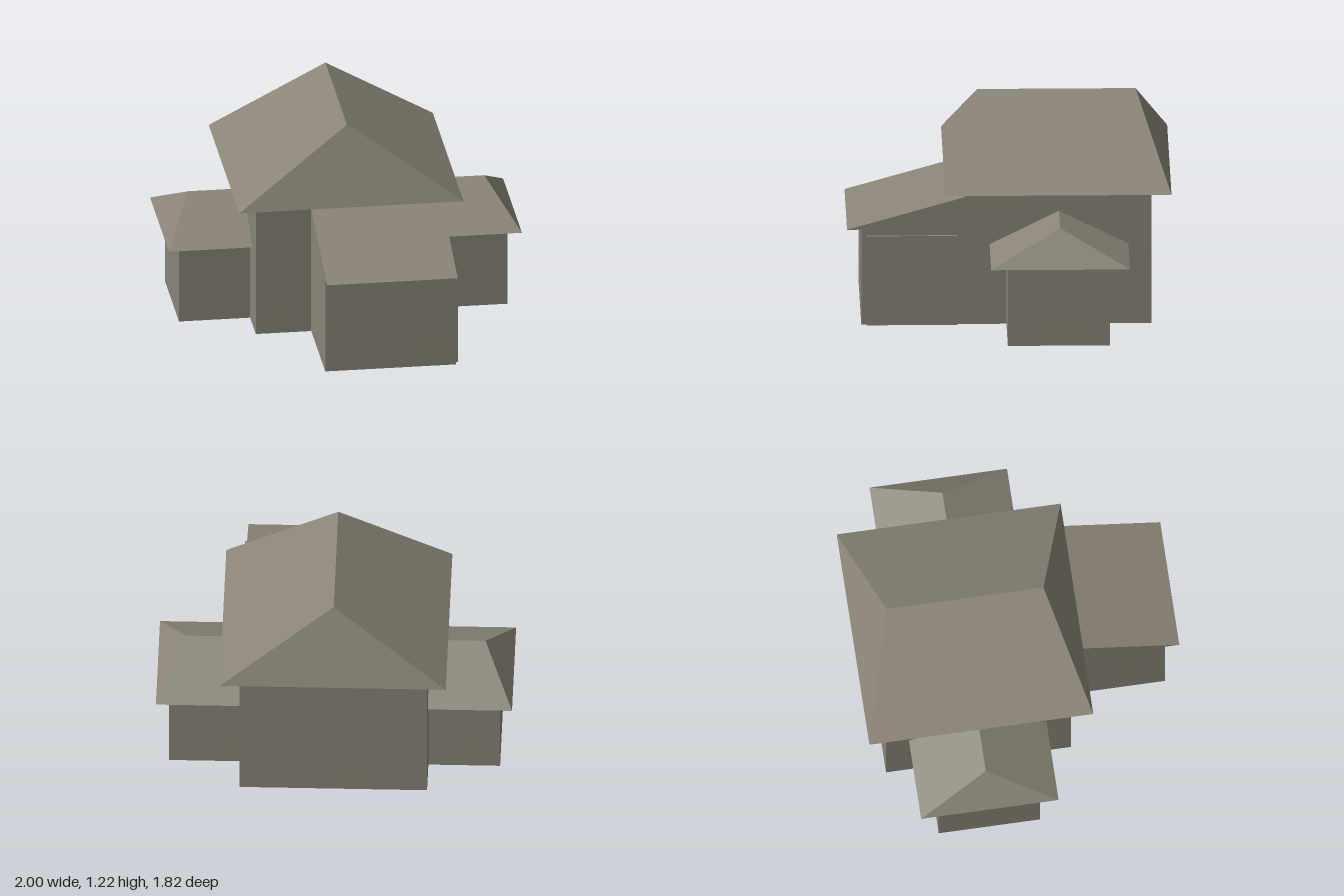
import * as THREE from 'three';

const clay = new THREE.MeshStandardMaterial({ color: 0x8a8477, side: THREE.DoubleSide });
clay.name = 'warm grey';

// Main half width, front and back; wing walls; eave and ridge heights
const W = 0.527, F = 0.25, B = -0.8, EAVE = 0.79, RIDGE = 1.215;
const WX = 0.93, WF = 0.015, WB = -0.56, WEAVE = 0.47, WRIDGE = 0.665;
// Front extension
const EX0 = -0.213, EZ = 0.83, ELIP = 0.91, ELOW = 0.56, EHIGH = 0.748;

function add(parent, name, geometry) {
  const mesh = new THREE.Mesh(geometry, clay);
  mesh.name = name;
  parent.add(mesh);
  return mesh;
}

// Flat-shaded geometry from convex faces, corners counter-clockwise from outside
function faces(...list) {
  const pos = [];
  for (const f of list)
    for (let i = 1; i < f.length - 1; i++) pos.push(...f[0], ...f[i], ...f[i + 1]);
  const g = new THREE.BufferGeometry();
  g.setAttribute('position', new THREE.Float32BufferAttribute(pos, 3));
  g.computeVertexNormals();
  return g;
}

const outline = (pts) => new THREE.Shape(pts.map(([a, b]) => new THREE.Vector2(a, b)));
const sheet = (pts) => new THREE.ShapeGeometry(outline(pts));
// Outline in (z, y), facing -x
const sideSheet = (pts, x) => sheet(pts).rotateY(-Math.PI / 2).translate(x, 0, 0);
const quadZ = (x0, x1, y, z) => [[x0, 0, z], [x1, 0, z], [x1, y, z], [x0, y, z]];

function buildSide() {
  const g = new THREE.Group();
  // Main side wall, open to the wing under its gable
  const k = (WRIDGE - WEAVE) / 0.39, mid = -0.28;
  const gf = WRIDGE - k * (WF - mid), gb = WRIDGE - k * (mid - WB);
  add(g, 'mainSideWall', sideSheet([
    [B, 0], [WB, 0], [WB, gb], [mid, WRIDGE], [WF, gf], [WF, 0], [F, 0], [F, EAVE], [B, EAVE],
  ], -W));
  add(g, 'wingWalls', faces(
    quadZ(-WX, -W, WEAVE, WF),
    quadZ(-W, -WX, WEAVE, WB),
    [[-WX, 0, WB], [-WX, 0, WF], [-WX, WEAVE, WF], [-WX, WEAVE, WB]],
  ));
  // Hipped wing roof
  const zf = 0.11, zb = -0.67, y = WEAVE;
  const hip = [-0.84, WRIDGE, mid], inner = [-W, WRIDGE, mid];
  add(g, 'wingRoof', faces(
    [[-1, y, zf], [-W, y, zf], inner, hip],
    [[-W, y, zb], [-1, y, zb], hip, inner],
    [[-1, y, zb], [-1, y, zf], hip],
  ));
  add(g, 'wingSoffit', sheet([
    [-W, zf], [-1, zf], [-1, zb], [-W, zb], [-W, WB], [-WX, WB], [-WX, WF], [-W, WF],
  ]).rotateX(Math.PI / 2).translate(0, y, 0));
  return g;
}

export function createModel() {
  const house = new THREE.Group();
  house.name = 'house';

  // Side walls and wings, mirrored
  for (const s of [-1, 1]) {
    const side = buildSide();
    side.name = s > 0 ? 'leftWing' : 'rightWing';
    side.scale.x = -s;
    house.add(side);
  }

  // Main front wall, open to the extension, and back wall
  add(house, 'mainFrontWall', sheet([
    [-W, 0], [EX0, 0], [EX0, EHIGH], [W, EHIGH], [W, EAVE], [-W, EAVE],
  ]).translate(0, 0, F));
  add(house, 'mainBackWall', faces(quadZ(W, -W, EAVE, B)));

  // Main hipped roof
  const R = 0.635, zf = 0.36, zb = -0.91, y = EAVE;
  const r1 = [0, RIDGE, 0.17], r2 = [0, RIDGE, -0.72];
  add(house, 'mainRoof', faces(
    [[-R, y, zf], [R, y, zf], r1],
    [[R, y, zf], [R, y, zb], r2, r1],
    [[R, y, zb], [-R, y, zb], r2],
    [[-R, y, zb], [-R, y, zf], r1, r2],
  ));
  const ring = outline([[-R, zb], [R, zb], [R, zf], [-R, zf]]);
  ring.holes.push(outline([[-W, B], [-W, F], [W, F], [W, B]]));
  add(house, 'mainSoffit', new THREE.ShapeGeometry(ring).rotateX(Math.PI / 2).translate(0, y, 0));

  // Front extension with lean-to roof
  const profile = [[F, 0], [EZ, 0], [EZ, ELOW], [ELIP, ELOW], [F, EHIGH]];
  add(house, 'extensionRightWall', sideSheet(profile, EX0));
  add(house, 'extensionLeftWall', sideSheet(profile, -W).scale(-1, 1, 1)).geometry = faces(
    [...profile].reverse().map(([z, h]) => [W, h, z]),
  );
  add(house, 'extensionFrontWall', faces(quadZ(EX0, W, ELOW, EZ)));
  add(house, 'extensionRoof', faces(
    [[EX0, ELOW, ELIP], [W, ELOW, ELIP], [W, EHIGH, F], [EX0, EHIGH, F]],
  ));
  add(house, 'extensionSoffit', faces(
    [[EX0, ELOW, EZ], [W, ELOW, EZ], [W, ELOW, ELIP], [EX0, ELOW, ELIP]],
  ));

  // Wide door on the extension's side
  add(house, 'door', new THREE.BoxGeometry(0.015, 0.525, 0.51)).position.set(W + 0.0075, 0.2625, 0.545);

  return house;
}
